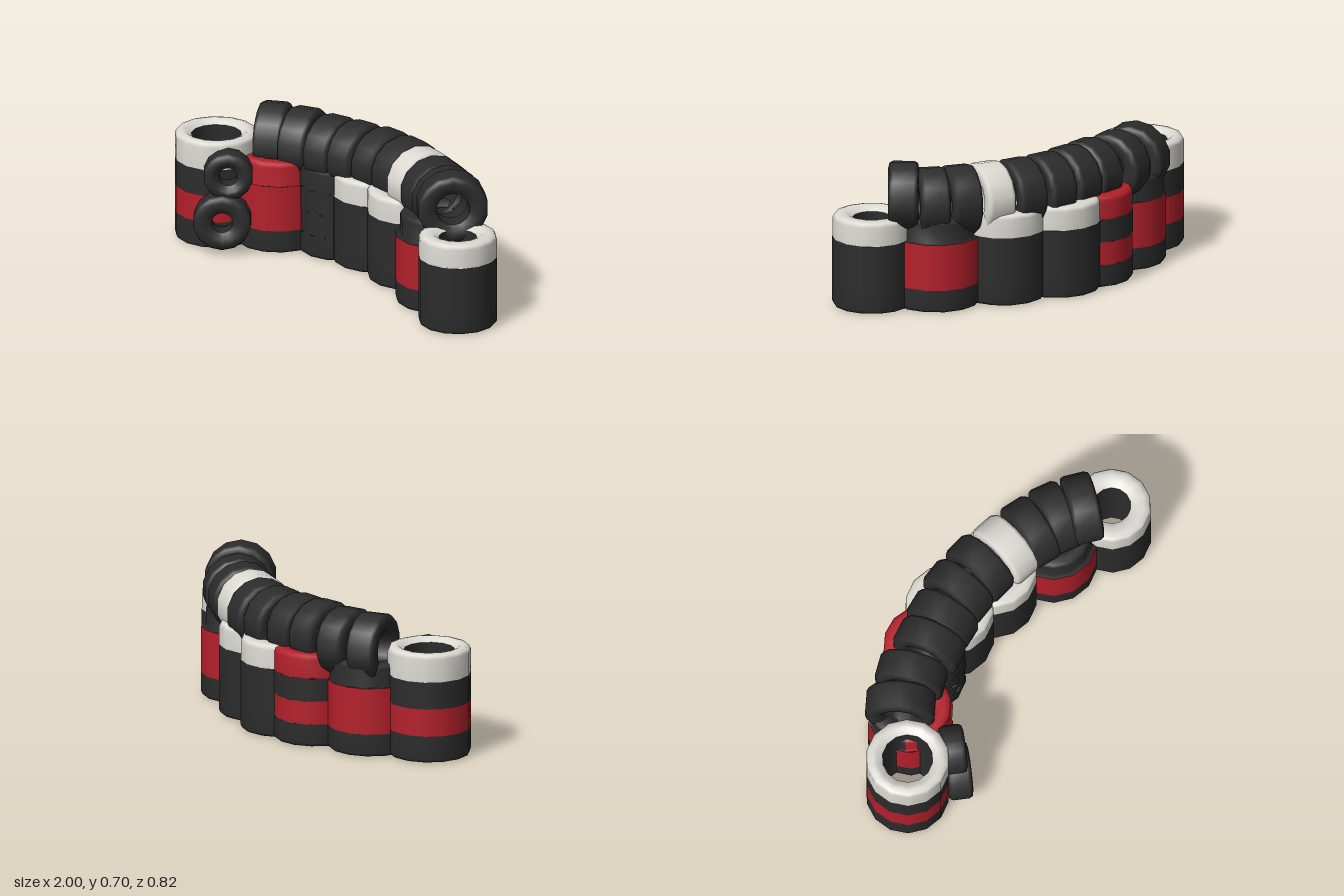
import * as THREE from 'three';

const mat = (name, color) => {
  const m = new THREE.MeshStandardMaterial({ color });
  m.name = name;
  return m;
};

// Profile turned about y, over the whole circle or part of it
function turned(points, start = 0, arc = Math.PI * 2) {
  const segments = Math.max(5, Math.round(14 * arc / (Math.PI * 2)));
  return new THREE.LatheGeometry(points.map(([x, y]) => new THREE.Vector2(x, y)), segments, start, arc);
}

// Rounded rims of a tyre, from the hole outwards (bottom) and inwards (top)
const bottomRim = (R, r, y, b) => [
  [r, y + 1.5 * b], [r + 2 * b, y], [R - 2.2 * b, y], [R - 0.6 * b, y + 0.4 * b], [R, y + 1.6 * b],
];
const topRim = (R, r, y, b) => [
  [R, y - 1.6 * b], [R - 0.6 * b, y - 0.4 * b], [R - 2.2 * b, y], [r + 2 * b, y], [r, y - 1.5 * b],
];

export function createModel() {
  const model = new THREE.Group();
  const mats = {
    k: mat('black rubber', 0x2c2c2c),
    r: mat('red paint', 0xb4202b),
    w: mat('white paint', 0xdcdad3),
  };
  const add = (parent, name, geo, m) => {
    const mesh = new THREE.Mesh(geo, m);
    mesh.name = name;
    parent.add(mesh);
    return mesh;
  };

  // Flat stacks along the arc: x, z, radius, hole, top, tyre colours from the
  // ground up, radius of the top tyre. R = red back with black front,
  // F = red front with black back.
  const stacks = [
    [-0.80, 0.13, 0.198, 0.12, 0.54, 'krkw', 0.198],
    [-0.555, -0.04, 0.205, 0.10, 0.46, 'krrF', 0.195],
    [-0.27, -0.17, 0.197, 0.10, 0.46, 'kRkR', 0.197],
    [-0.045, -0.195, 0.213, 0.10, 0.46, 'kkkw', 0.211],
    [0.235, -0.145, 0.205, 0.10, 0.46, 'kkkw', 0.205],
    [0.55, -0.035, 0.213, 0.10, 0.46, 'krrk', 0.19],
    [0.82, 0.11, 0.188, 0.09, 0.46, 'kkkw', 0.186],
  ];
  const base = 0.01;
  stacks.forEach(([x, z, R, hole, top, colours, topR], i) => {
    const stack = new THREE.Group();
    stack.name = `tyreStack${i + 1}`;
    stack.position.set(x, 0, z);
    const last = colours.length - 1;
    const h = (top - base) / colours.length;
    [...colours].forEach((c, j) => {
      // Outer wall, with a rim on the lowest and the highest tyre
      const y0 = base + h * j, y1 = y0 + h;
      const foot = j === 0 ? bottomRim(R, hole, y0, 0.012) : [[R, y0]];
      if (j === last) foot.push([topR, y0 + 0.002]);
      const head = j === last ? topRim(topR, hole, y1, 0.014) : [[R, y1]];
      const profile = [...foot, ...head];
      if (c === 'R' || c === 'F') {
        const a = 1.75, arc = 3.5;
        const [back, front] = c === 'R' ? [mats.r, mats.k] : [mats.k, mats.r];
        add(stack, 'tyreBack', turned(profile, a, arc), back);
        add(stack, 'tyreFront', turned(profile, a + arc, Math.PI * 2 - arc), front);
      } else {
        add(stack, 'flatTyre', turned(profile), mats[c]);
      }
    });
    add(stack, 'stackInside', turned([[hole, top - 0.021], [hole, base + 0.018]]), mats.k);
    model.add(stack);
  });

  // Upright tyre whose axle lies level, turned by yaw (0 = axle along x)
  const upright = (name, x, y, z, R, hole, width, yaw, m) => {
    const b = 0.014, H = width / 2;
    const rims = [...bottomRim(R, hole, -H, b), ...topRim(R, hole, H, b)];
    const g = turned([...rims, rims[0]]);
    g.rotateY(Math.PI / 14).rotateZ(Math.PI / 2).rotateY(yaw);
    add(model, name, g, m).position.set(x, y, z);
  };

  // Row of upright tyres on top: x, z, yaw in degrees, colour
  const row = [
    [-0.605, -0.06, 33, 'k'], [-0.455, -0.11, 22, 'k'],
    [-0.28, -0.135, 12, 'k'], [-0.14, -0.165, 7, 'k'],
    [0.015, -0.19, 0, 'k'], [0.17, -0.18, -6, 'k'],
    [0.32, -0.14, -10, 'w'], [0.46, -0.10, -19, 'k'],
    [0.59, -0.05, -27, 'k'], [0.695, 0.027, -38, 'k'],
  ];
  row.forEach(([x, z, deg, c], i) => {
    const y = i === row.length - 1 ? 0.54 : 0.51;
    upright('uprightTyre', x, y, z, 0.168, 0.08, 0.145, THREE.MathUtils.degToRad(deg), mats[c]);
  });

  // Two small tyres leaning on the front of the right end
  upright('lowerLeaningTyre', -0.605, 0.175, 0.28, 0.138, 0.05, 0.12, -Math.PI / 4, mats.k);
  upright('upperLeaningTyre', -0.60, 0.40, 0.245, 0.118, 0.045, 0.12, -Math.PI / 4, mats.k);

  return model;
}
